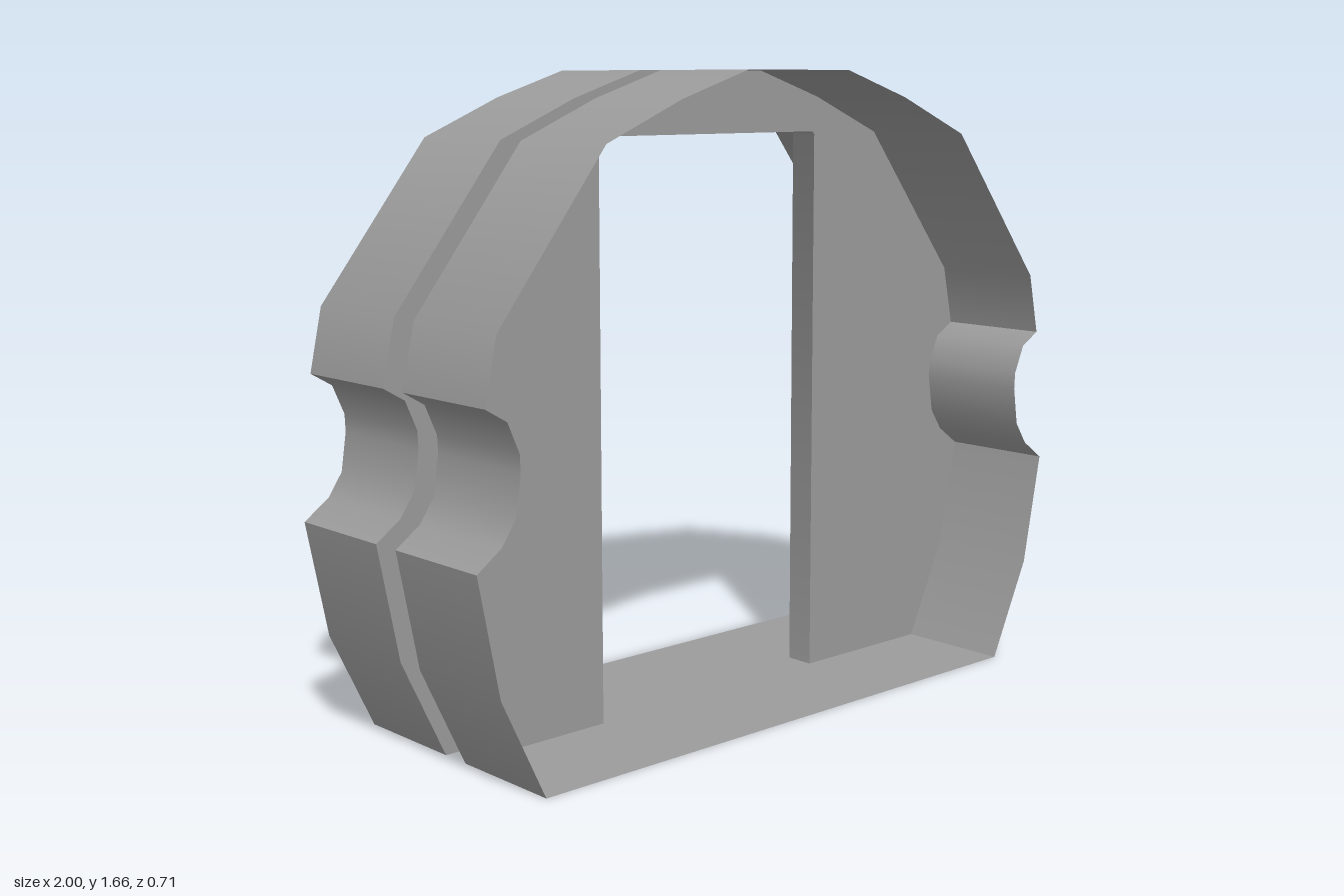
import * as THREE from 'three';

const DEPTH = 0.355; // half of the whole depth
const GAP = 0.04; // half of the groove between the two shells
const CREASE = Math.cos(0.9); // edges sharper than this stay hard

// right half of the outline, from the base up; the middle points form the side notch
const half = [
  [0.815, 0], [0.94, 0.26], [1, 0.56], [0.93, 0.61], [0.89, 0.67], [0.875, 0.77],
  [0.877, 0.815], [0.91, 0.89], [0.97, 0.925], [0.935, 1.088], [0.62, 1.49], [0.39, 1.588], [0.175, 1.657],
];
// right half of the doorway, with tiny clipped upper corners
const doorHalf = [[0.38, 0], [0.38, 1.487], [0.372, 1.495]];

// mirrors a half outline into a full counter-clockwise loop
const mirror = (pts) => [...pts, ...pts.map(([x, y]) => [-x, y]).reverse()];

// open-ended band that sweeps a closed loop from z0 to z1, smooth except at hard edges
function band(loop, z0, z1) {
  const n = loop.length;
  const faceNormals = loop.map(([ax, ay], i) => {
    const [bx, by] = loop[(i + 1) % n];
    return new THREE.Vector2(by - ay, ax - bx).normalize();
  });
  const blend = (a, b) => (a.dot(b) > CREASE ? a.clone().add(b).normalize() : a);
  const pos = [], nor = [], index = [];
  loop.forEach((a, i) => {
    const face = faceNormals[i];
    const ends = [
      [a, blend(face, faceNormals[(i + n - 1) % n])],
      [loop[(i + 1) % n], blend(face, faceNormals[(i + 1) % n])],
    ];
    for (const [[x, y], normal] of ends) {
      pos.push(x, y, z1, x, y, z0);
      nor.push(normal.x, normal.y, 0, normal.x, normal.y, 0);
    }
    const k = i * 4;
    index.push(k, k + 1, k + 3, k, k + 3, k + 2);
  });
  const geo = new THREE.BufferGeometry();
  geo.setAttribute('position', new THREE.Float32BufferAttribute(pos, 3));
  geo.setAttribute('normal', new THREE.Float32BufferAttribute(nor, 3));
  geo.setIndex(index);
  return geo;
}

export function createModel() {
  const group = new THREE.Group();
  const material = new THREE.MeshStandardMaterial({ color: 0x9b9b9b, side: THREE.DoubleSide });
  const add = (name, geo) => {
    const mesh = new THREE.Mesh(geo, material);
    mesh.name = name;
    group.add(mesh);
    return mesh;
  };

  const outline = mirror(half);
  const doorway = mirror(doorHalf);

  // wall plate: the outline with the doorway cut out down to the base
  const plate = new THREE.Shape(
    [...outline, ...[...doorway].reverse()].map(([x, y]) => new THREE.Vector2(x, y)),
  );

  // two thin shells, each open outward and closed by a wall at the groove
  for (const [side, s] of [['front', 1], ['back', -1]]) {
    add(`${side}Shell`, band(outline, Math.min(s * GAP, s * DEPTH), Math.max(s * GAP, s * DEPTH)));
    const wall = add(`${side}Wall`, new THREE.ShapeGeometry(plate));
    wall.position.z = s * GAP;
    if (s < 0) wall.rotation.y = Math.PI;
  }

  // doorway lining and sill that bridge the groove
  add('doorwayLining', band(doorway, -GAP, GAP));

  return group;
}
